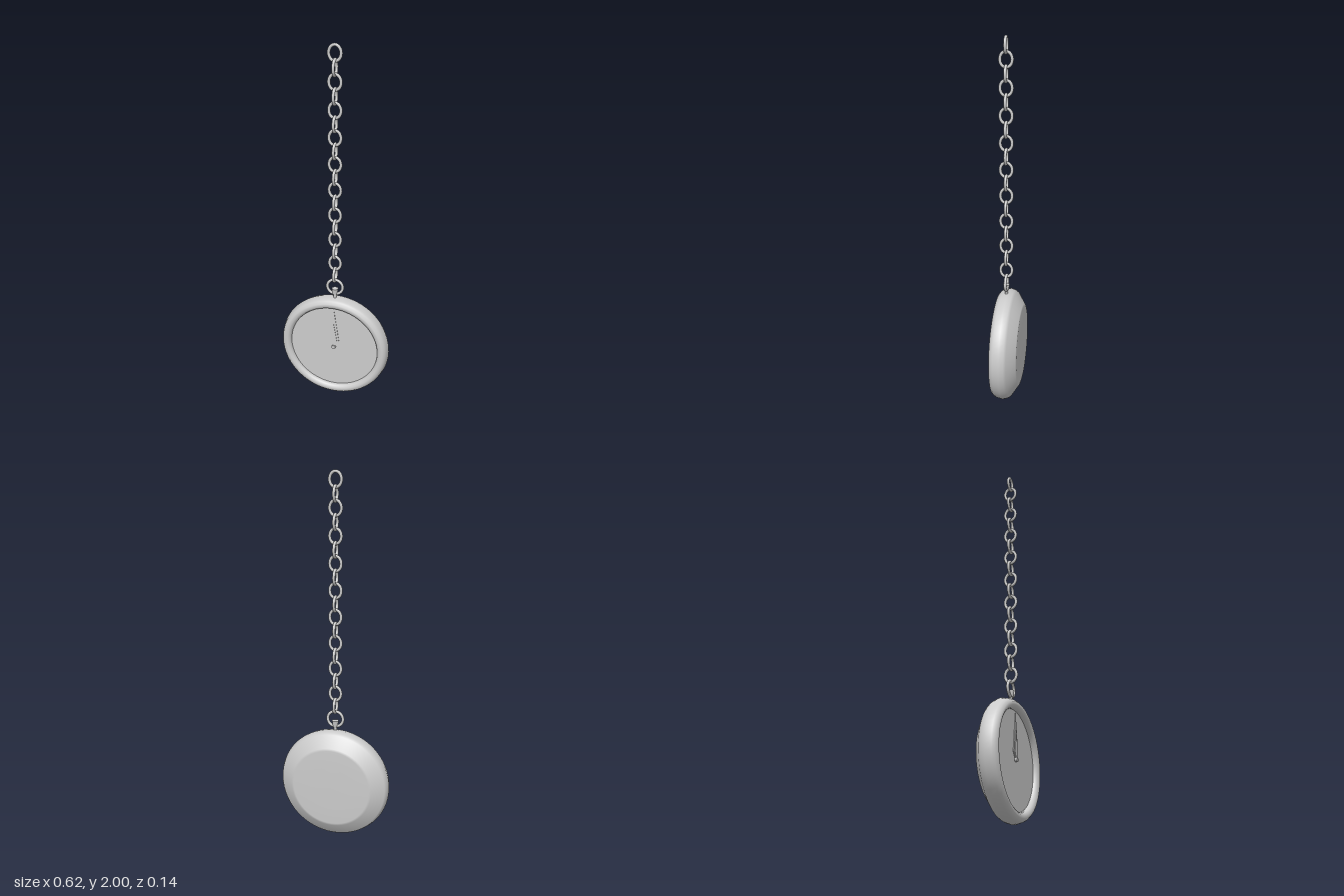
import * as THREE from 'three';

const CENTER_Y = 0.313; // middle of the watch case
const CHAIN_Z = 0.02; // plane of stem, bow and chain

export function createModel() {
  const model = new THREE.Group();
  const metal = new THREE.MeshStandardMaterial({ color: 0xcccccc });
  const thin = new THREE.MeshStandardMaterial({ color: 0xcccccc, side: THREE.DoubleSide });

  const add = (name, geometry, x, y, z, material = metal) => {
    const mesh = new THREE.Mesh(geometry, material);
    mesh.name = name;
    mesh.position.set(x, y, z);
    model.add(mesh);
    return mesh;
  };
  // Turned profile [radius, depth], with its axis along z
  const turned = (points) =>
    new THREE.LatheGeometry(points.map(([r, z]) => new THREE.Vector2(r, z)), 64).rotateX(Math.PI / 2);

  // Case: nearly flat back, sloped shoulder and rounded rim
  add('case', turned([
    [0, -0.072], [0.12, -0.071], [0.215, -0.069], [0.228, -0.066], [0.292, -0.025], [0.301, -0.012],
    [0.309, 0.012], [0.302, 0.045], [0.296, 0.057], [0.284, 0.069],
    [0.268, 0.069], [0.256, 0.061], [0.251, 0.05], [0.25, 0.036],
  ]), 0, CENTER_Y, 0);
  add('dial', new THREE.CircleGeometry(0.252, 64), 0, CENTER_Y, 0.042);

  // Hands: slim kites, both pointing to twelve
  const hand = (name, length, width, z) => {
    const shape = new THREE.Shape();
    shape.moveTo(0, -0.005);
    shape.lineTo(width, 0.035);
    shape.lineTo(0, length);
    shape.lineTo(-width, 0.035);
    shape.closePath();
    const geometry = new THREE.ExtrudeGeometry(shape, { depth: 0.003, bevelEnabled: false });
    add(name, geometry, 0, CENTER_Y, z, thin);
  };
  hand('minuteHand', 0.24, 0.03, 0.043);
  hand('hourHand', 0.15, 0.02, 0.047);
  add('handPin', new THREE.CylinderGeometry(0.011, 0.011, 0.014, 16).rotateX(Math.PI / 2), 0, CENTER_Y, 0.048);

  // Stem and crown
  add('stem', new THREE.CylinderGeometry(0.009, 0.009, 0.05, 16), 0, 0.63, CHAIN_Z);
  add('crown', new THREE.CylinderGeometry(0.018, 0.013, 0.034, 16), 0, 0.658, CHAIN_Z);

  // Bow ring that carries the chain
  add('bow', new THREE.TorusGeometry(0.043, 0.008, 10, 32), 0, 0.685, CHAIN_Z);

  // Chain: oval links, each turned a quarter from the one before
  class Oval extends THREE.Curve {
    getPoint(t, target = new THREE.Vector3()) {
      const a = t * Math.PI * 2;
      return target.set(0.031 * Math.cos(a), 0.039 * Math.sin(a), 0);
    }
  }
  const linkGeometry = new THREE.TubeGeometry(new Oval(), 32, 0.008, 8, true);
  const LINKS = 18;
  for (let i = 0; i < LINKS; i++) {
    const y = THREE.MathUtils.lerp(0.76, 1.953, i / (LINKS - 1));
    const link = add('chainLink', linkGeometry, 0, y, CHAIN_Z);
    if (i % 2 === 0) link.rotation.y = Math.PI / 2;
  }
  return model;
}
